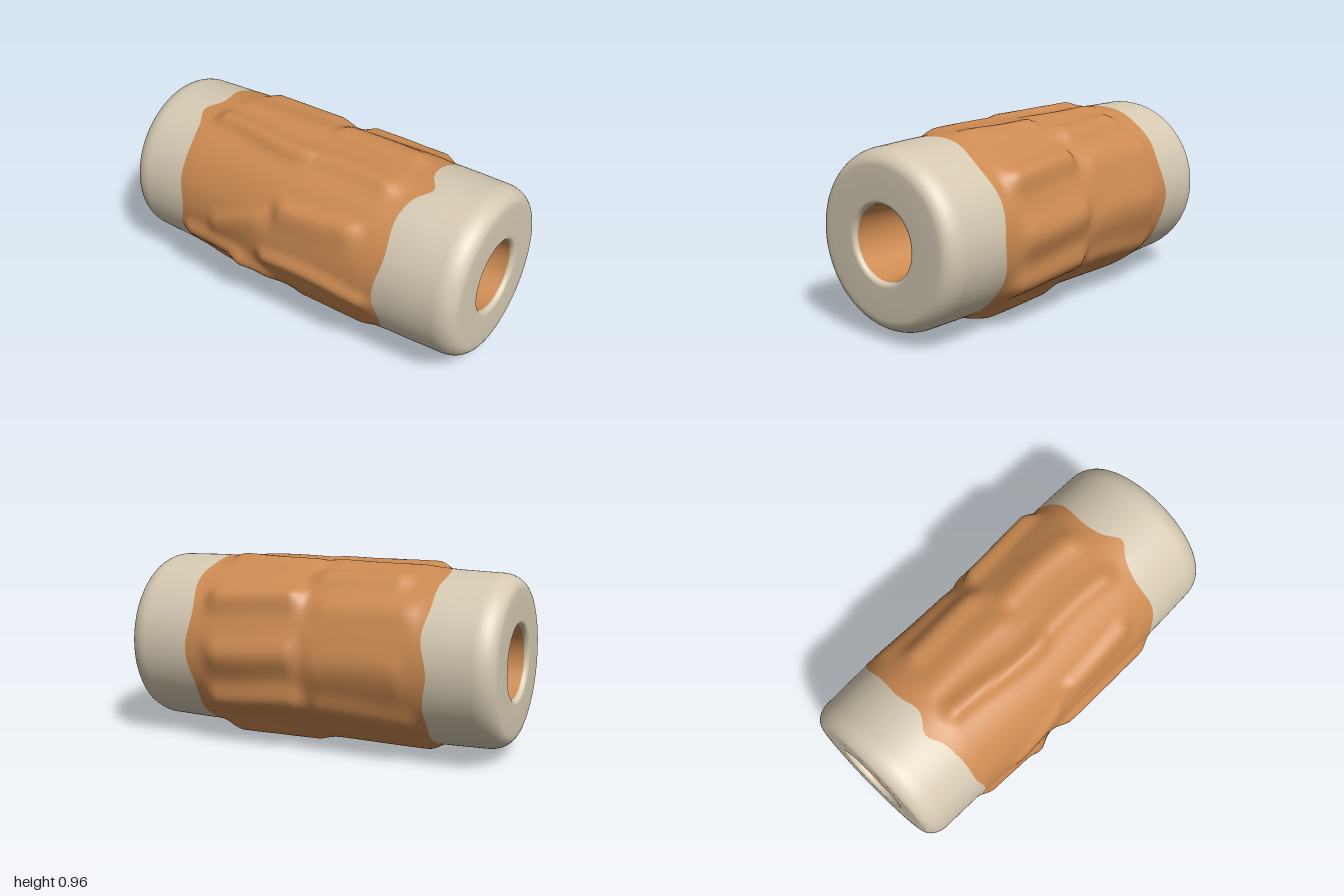
import * as THREE from 'three';

const SEG = 160, ROWS = 90;
const smooth = THREE.MathUtils.smoothstep;
const lerp = THREE.MathUtils.lerp;
const bell = (v, centre, width) => Math.exp(-(((v - centre) / width) ** 2));

// Bark ridges: [x start, x end, degrees from top towards the front, height,
// width before, width after, optional twist in degrees per unit of x]
const RIDGES = [
  // top
  [-.58, 0, 21, .04, 7, 6], [-.56, -.03, 358, .012, 12, 6], [0, .5, 22, .026, 8, 6], [.02, .52, 349, .026, 11, 7],
  // front
  [-.03, .42, 58, .03, 5, 11], [-.11, .52, 98, .033, 5, 8], [-.64, -.22, 109, .03, 6, 10],
  [-.3, -.1, 119, .026, 6, 9, 55], [-.44, -.1, 80, .02, 6, 11, -50], [-.62, -.3, 146, .02, 9, 8, -40],
  [-.02, .45, 146, .02, 8, 7],
  // underside
  [-.62, .55, 181, .034, 24, 24], [-.02, .5, 200, .026, 8, 10], [0, .45, 162, .018, 7, 8],
  // back
  [0, .52, 240, .042, 11, 9], [-.58, -.05, 235, .022, 10, 9], [.02, .5, 272, .028, 11, 10],
  [-.55, -.06, 268, .014, 14, 10], [.03, .52, 309, .046, 9, 7], [-.58, -.08, 306, .016, 10, 9],
  [-.5, -.03, 332, .03, 10, 8],
];

// Plain log radius: slimmer at the -x end and tapering a little towards both ends
const logRadius = x => lerp(.438, .449, smooth(x, -.7, .5)) - .005 * smooth(Math.abs(x), .65, .92);

// Log radius with the ridges added
function barkRadius(a, x) {
  const deg = a * 180 / Math.PI;
  let r = logRadius(x) + .005 * smooth(x, -.69, -.58) * (1 - smooth(x, .46, .62));
  for (const [x0, x1, centre, height, before, after, twist = 0] of RIDGES) {
    const middle = centre + twist * (x - (x0 + x1) / 2) + 2 * Math.sin(x * 7 + centre);
    const d = ((deg - middle + 540) % 360) - 180;
    const along = smooth(x, x0 - .05, x0 + .05) * (1 - smooth(x, x1 - .05, x1 + .07));
    r += height * along * bell(d, 0, d < 0 ? before : after);
  }
  return r;
}

// Wavy borders between bark and caps
const leftEdge = a => -.655 - .07 * bell(a, .3, .17) + .012 * Math.sin(a * 5 + .5) + .008 * Math.sin(a * 9);
const rightEdge = a => .605 + .05 * bell(a, .22, .13) + .03 * Math.cos(a + .9) + .013 * Math.sin(a * 7);

// Skins a list of rings; each ring maps an angle to [x, radius]
function skin(name, rings, material) {
  const pos = [], index = [];
  rings.forEach(ring => {
    for (let j = 0; j < SEG; j++) {
      const a = j / SEG * Math.PI * 2;
      const [x, r] = ring(a);
      const zc = lerp(-.02, .008, smooth(x, -.75, .1));
      pos.push(x, .5 + r * Math.cos(a), zc + r * Math.sin(a));
    }
  });
  for (let i = 0; i < rings.length - 1; i++) {
    for (let j = 0; j < SEG; j++) {
      const p = i * SEG + j, q = i * SEG + (j + 1) % SEG;
      index.push(p, q, p + SEG, q, q + SEG, p + SEG);
    }
  }
  const geometry = new THREE.BufferGeometry();
  geometry.setAttribute('position', new THREE.Float32BufferAttribute(pos, 3));
  geometry.setIndex(index);
  geometry.computeVertexNormals();
  const mesh = new THREE.Mesh(geometry, material);
  mesh.name = name;
  return mesh;
}

// Cap from the bark border over the rounded end to the rim of the hole
function capRings(side, edge) {
  const rings = [];
  const start = side * .89, R = logRadius(start);
  for (let i = 0; i <= 8; i++) {
    rings.push(a => {
      const x = lerp(edge(a), start, i / 8);
      return [x, barkRadius(a, x)];
    });
  }
  for (let i = 1; i <= 10; i++) {
    const t = i / 10 * Math.PI / 2;
    rings.push(() => [side * (.89 + .108 * Math.sin(t)), R - .075 * (1 - Math.cos(t))]);
  }
  for (const r of [.33, .27, .21]) rings.push(() => [side, r]);
  for (let i = 1; i <= 6; i++) {
    const t = i / 6 * Math.PI / 2;
    rings.push(() => [side * (1 - .025 * (1 - Math.cos(t))), .208 - .023 * Math.sin(t)]);
  }
  return rings;
}

// Blind hole: wall from the rim inwards, and its flat floor
const ringsFrom = (side, profile) => profile.map(([x, r]) => () => [side * x, r]);
const wallRings = side => ringsFrom(side, [[.975, .185], [.9, .182], [.75, .175], [.55, .165]]);
const floorRings = side => ringsFrom(side, [[.55, .165], [.55, .08], [.55, 0]]);

export function createModel() {
  const model = new THREE.Group();
  model.name = 'log';
  const bark = new THREE.MeshStandardMaterial({ color: 0xcd8b52 });
  bark.name = 'orange bark';
  const wood = new THREE.MeshStandardMaterial({ color: 0xd5c9b2 });
  wood.name = 'pale wood';

  // Ridged bark sleeve
  const sleeve = [];
  for (let i = 0; i <= ROWS; i++) {
    sleeve.push(a => {
      const x = lerp(leftEdge(a), rightEdge(a), i / ROWS);
      return [x, barkRadius(a, x)];
    });
  }
  model.add(skin('barkSleeve', sleeve, bark));

  // Pale rounded caps and their hollow centres
  model.add(skin('leftCap', capRings(1, rightEdge), wood));
  model.add(skin('leftHoleWall', wallRings(1), bark));
  model.add(skin('leftHoleFloor', floorRings(1), bark));
  model.add(skin('rightCap', capRings(-1, leftEdge).reverse(), wood));
  model.add(skin('rightHoleWall', wallRings(-1).reverse(), bark));
  model.add(skin('rightHoleFloor', floorRings(-1).reverse(), bark));
  return model;
}
